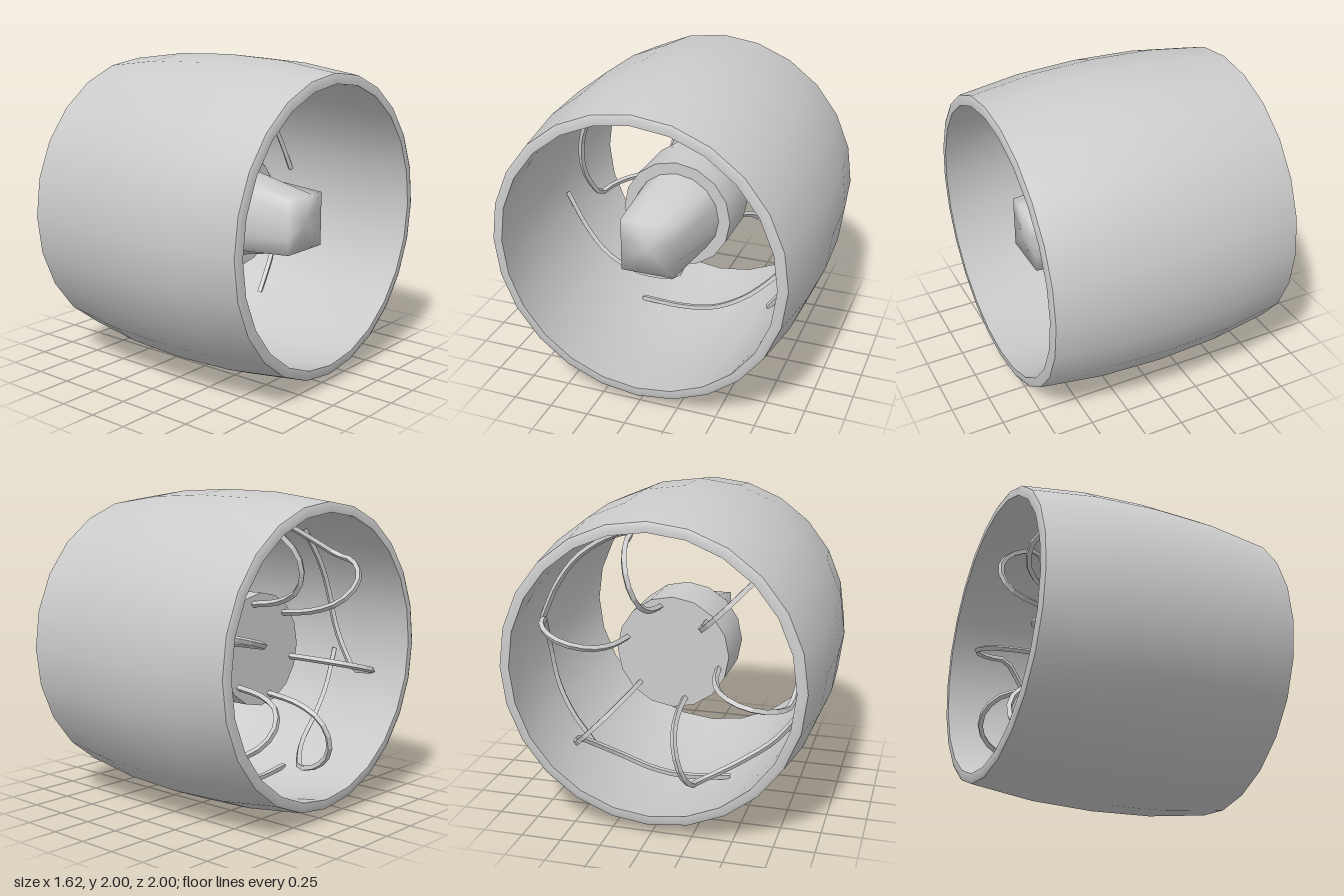
import * as THREE from 'three';
import { toCreasedNormals } from 'three/addons/utils/BufferGeometryUtils.js';

const grey = new THREE.MeshStandardMaterial({ color: 0xcccccc });
const faceted = new THREE.MeshStandardMaterial({ color: 0xcccccc, flatShading: true });

// Revolve [radius, x] points around the x axis
function revolve(points, sides) {
  const g = new THREE.LatheGeometry(points.map(([r, x]) => new THREE.Vector2(r, x)), sides);
  g.rotateZ(-Math.PI / 2);
  return toCreasedNormals(g, 0.5);
}

// Nose that blends from a round base to a square front
function noseGeometry(sides, baseX, baseR, frontX, half) {
  const pos = [], index = [];
  for (let i = 0; i < sides; i++) {
    const t = (i / sides) * Math.PI * 2, c = Math.cos(t), s = Math.sin(t);
    const k = half / Math.max(Math.abs(c), Math.abs(s));
    pos.push(baseX, c * baseR, s * baseR, frontX, c * k, s * k);
  }
  const centre = sides * 2;
  pos.push(frontX, 0, 0);
  for (let i = 0; i < sides; i++) {
    const b = i * 2, n = ((i + 1) % sides) * 2;
    index.push(b, n, n + 1, b, n + 1, b + 1, centre, b + 1, n + 1);
  }
  const g = new THREE.BufferGeometry();
  g.setAttribute('position', new THREE.Float32BufferAttribute(pos, 3));
  g.setIndex(index);
  g.computeVertexNormals();
  return g;
}

// Spoke path as [radius, x, sweep in degrees]: hook behind the hub, then along the wall
const spokePath = [
  [0.3, -0.25, 0], [0.34, -0.5, 0], [0.42, -0.65, 0], [0.54, -0.71, 0],
  [0.66, -0.69, 0], [0.77, -0.58, 0], [0.81, -0.44, 0], [0.815, -0.34, 8],
  [0.825, -0.25, 20], [0.85, -0.21, 35], [0.87, -0.2, 50], [0.92, -0.18, 68],
];

function spokeGeometry(startDeg) {
  const pts = spokePath.map(([r, x, sweep]) => {
    const a = THREE.MathUtils.degToRad(startDeg - sweep);
    return new THREE.Vector3(x, r * Math.sin(a), -r * Math.cos(a));
  });
  return new THREE.TubeGeometry(new THREE.CatmullRomCurve3(pts), 26, 0.02, 4, false);
}

export function createModel() {
  const model = new THREE.Group();
  const add = (name, geometry, material = grey) => {
    const m = new THREE.Mesh(geometry, material);
    m.name = name;
    m.position.y = 1;
    model.add(m);
  };

  // Barrel shell with bevelled rims and a parallel inner wall
  add('shell', revolve([
    [0.87, -0.81], [0.912, -0.81], [0.932, -0.8], [0.985, -0.4], [1, 0], [0.985, 0.4],
    [0.932, 0.8], [0.912, 0.81], [0.87, 0.81], [0.925, 0.4], [0.94, 0], [0.925, -0.4], [0.87, -0.81],
  ], 24));

  // Hub drum and nose
  add('hub', revolve([[0, -0.28], [0.36, -0.28], [0.36, 0.1], [0, 0.1]], 16));
  add('nose', noseGeometry(16, 0.1, 0.285, 0.6, 0.17));

  // Six bent spokes
  for (let i = 0; i < 6; i++) add('spoke', spokeGeometry(15 + i * 60), faceted);

  return model;
}
